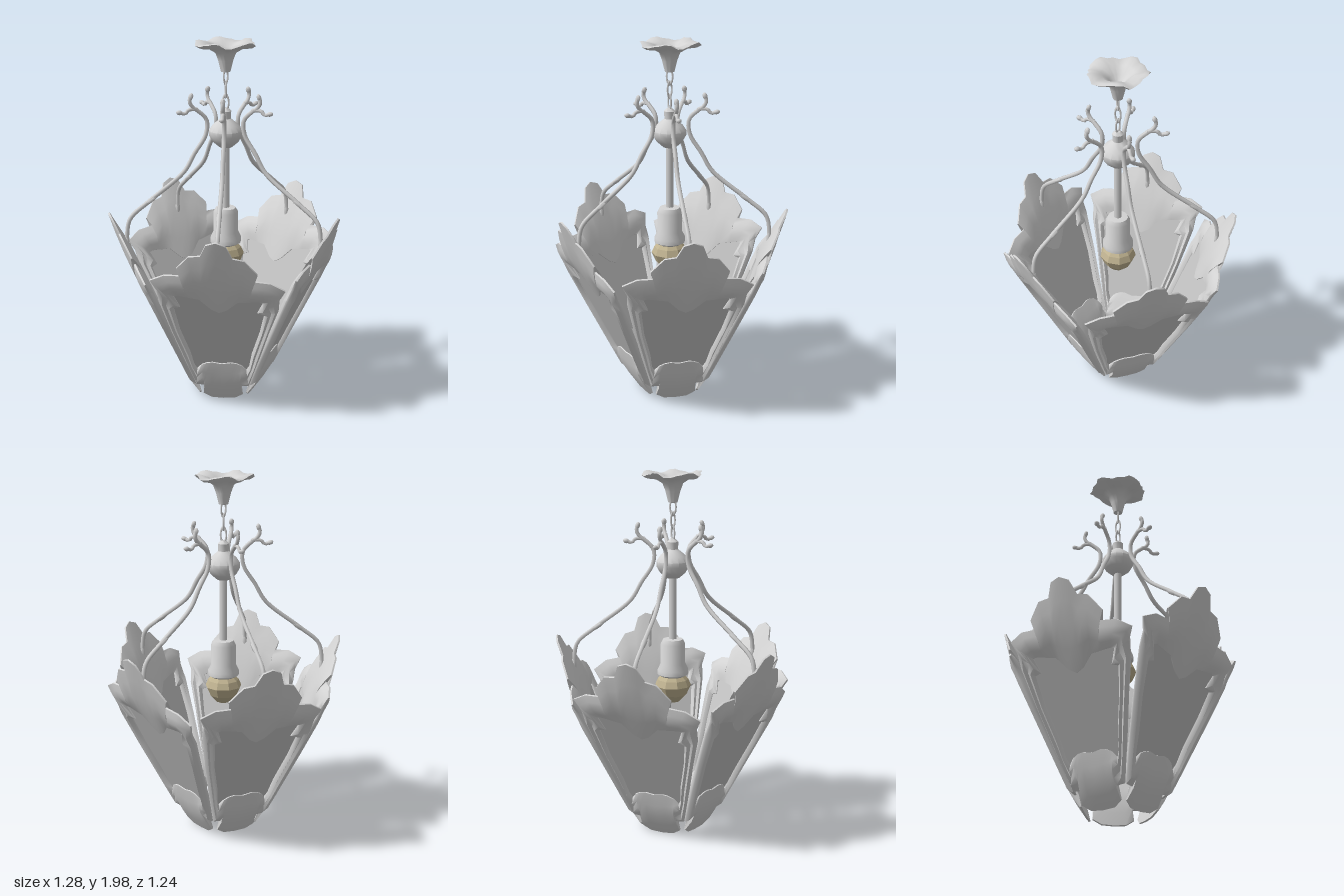
import * as THREE from 'three';
import { toCreasedNormals } from 'three/addons/utils/BufferGeometryUtils.js';

const metal = new THREE.MeshStandardMaterial({ color: 0xd4d4d4 });
metal.name = 'pale metal';
const pane = new THREE.MeshStandardMaterial({ color: 0xc4c4c4, side: THREE.DoubleSide });
pane.name = 'grey glass';
const bulbGlass = new THREE.MeshStandardMaterial({ color: 0xbfb290 });
bulbGlass.name = 'warm bulb';

const V = (x, y, z = 0) => new THREE.Vector3(x, y, z);

function add(parent, name, geometry, material) {
  const mesh = new THREE.Mesh(geometry, material);
  mesh.name = name;
  parent.add(mesh);
  return mesh;
}

function lathe(points, segments, crease = 0.7) {
  const geo = new THREE.LatheGeometry(points.map(([r, y]) => new THREE.Vector2(r, y)), segments);
  return toCreasedNormals(geo, crease);
}

function tube(points, radius, steps = 24, sides = 6) {
  return new THREE.TubeGeometry(new THREE.CatmullRomCurve3(points), steps, radius, sides);
}

// Half of the frame, top to bottom: outer s, outer y, inner s, inner y
const HALF = [
  [0, 1.1, 0, 0.65], [0.05, 1.08, 0.04, 0.67], [0.08, 1.01, 0.08, 0.71], [0.14, 1.0, 0.1, 0.73],
  [0.205, 0.92, 0.14, 0.735], [0.175, 0.875, 0.17, 0.74], [0.27, 0.87, 0.21, 0.745], [0.345, 0.83, 0.23, 0.74],
  [0.315, 0.77, 0.2, 0.67], [0.31, 0.7, 0.235, 0.66], [0.26, 0.52, 0.21, 0.52], [0.21, 0.34, 0.165, 0.36],
  [0.18, 0.24, 0.15, 0.27], [0.145, 0.12, 0.135, 0.24], [0.1, 0.115, 0.11, 0.27], [0.11, 0.05, 0.08, 0.285],
  [0.065, 0.02, 0.05, 0.29], [0, 0.015, 0, 0.28],
];
const isRail = (i) => i >= 8 && i <= 13;

// Point on the sloping panel: s across, y up, n outward from the plane
function onPanel(s, y, n) {
  const yy = y > 0.6 ? y - 0.07 * s : y;
  return [0.15 + 0.445 * yy + 0.914 * n, yy - 0.407 * n, -s];
}

// Full clockwise loop made by mirroring the half
function frameLoop() {
  const right = HALF.map((p, i) => ({ p, i }));
  const left = right.slice(1, -1).reverse().map(({ p, i }) => ({ p: [-p[0], p[1], -p[2], p[3]], i }));
  return right.concat(left);
}

// Puffed frame with leaf-shaped top and foot, and grooved side rails
function frameGeometry() {
  const loop = frameLoop();
  const leaf = [[0, 0.006], [0.25, 0.02], [0.5, 0.026], [0.75, 0.018], [1, 0.005]];
  const rail = [[0, 0.006], [0.25, 0.024], [0.5, 0.012], [0.75, 0.024], [1, 0.006]];
  const pos = [], idx = [], K = 10;
  for (const { p, i } of loop) {
    const front = isRail(i) ? rail : leaf;
    const ring = front.concat(front.slice().reverse().map(([t, n]) => [t, -n * 0.9]));
    for (const [t, n] of ring) {
      pos.push(...onPanel(p[2] + (p[0] - p[2]) * t, p[3] + (p[1] - p[3]) * t, n));
    }
  }
  const N = loop.length;
  for (let i = 0; i < N; i++) {
    for (let k = 0; k < K; k++) {
      const i2 = (i + 1) % N, k2 = (k + 1) % K;
      const a = i * K + k, b = i2 * K + k, c = i2 * K + k2, d = i * K + k2;
      idx.push(a, b, c, a, c, d);
    }
  }
  const geo = new THREE.BufferGeometry();
  geo.setAttribute('position', new THREE.Float32BufferAttribute(pos, 3));
  geo.setIndex(idx);
  return toCreasedNormals(geo, 0.9);
}

// Flat glass filling the frame opening
function glassGeometry() {
  const shape = new THREE.Shape(frameLoop().map(({ p }) => new THREE.Vector2(p[2], p[3])));
  const geo = new THREE.ShapeGeometry(shape);
  const pos = geo.attributes.position;
  for (let i = 0; i < pos.count; i++) pos.setXYZ(i, ...onPanel(pos.getX(i), pos.getY(i), 0));
  geo.computeVertexNormals();
  return geo;
}

// Curved arm with a forked leafy tip
function buildArm() {
  const arm = new THREE.Group();
  arm.name = 'arm';
  add(arm, 'armStem', tube([
    V(0.545, 0.88), V(0.545, 0.97), V(0.525, 1.06), V(0.42, 1.15), V(0.23, 1.3), V(0.17, 1.4),
    V(0.108, 1.5), V(0.105, 1.58), V(0.165, 1.64),
  ], 0.012, 40), metal);
  add(arm, 'upperProng', tube([V(0.14, 1.62), V(0.18, 1.65), V(0.195, 1.68), V(0.185, 1.715)], 0.011, 8), metal);
  add(arm, 'outerProng', tube([V(0.15, 1.635), V(0.2, 1.635), V(0.22, 1.615), V(0.255, 1.625)], 0.01, 8), metal);
  // small leaf buds at the tips and along the stem
  const buds = [[0.188, 1.705, 0.02, 0.3], [0.25, 1.622, 0.018, -1.3], [0.545, 0.93, 0.05, 0], [0.41, 1.155, 0.05, 0.95]];
  for (const [x, y, length, tilt] of buds) {
    const bud = add(arm, 'leafBud', new THREE.SphereGeometry(1, 6, 5), metal);
    bud.scale.set(0.013, length, 0.015);
    bud.position.set(x, y, 0);
    bud.rotation.z = tilt;
  }
  return arm;
}

// Flower-shaped ceiling cup with a ruffled five-lobed rim
function canopyGeometry() {
  const geo = new THREE.LatheGeometry([
    [0, 1.825], [0.025, 1.83], [0.04, 1.89], [0.055, 1.93], [0.09, 1.955], [0.135, 1.965],
    [0.155, 1.98], [0.135, 1.985], [0.085, 1.972], [0.045, 1.94], [0, 1.88],
  ].map(([r, y]) => new THREE.Vector2(r, y)), 30);
  const pos = geo.attributes.position;
  for (let i = 0; i < pos.count; i++) {
    const x = pos.getX(i), z = pos.getZ(i), r = Math.hypot(x, z), a = Math.atan2(z, x);
    const w = Math.max(0, (r - 0.05) / 0.1);
    const k = 1 + w * (0.05 * Math.cos(5 * a) + 0.03 * Math.cos(15 * a + 1));
    const lift = w * (0.011 * Math.sin(5 * a) + 0.004 * Math.sin(10 * a));
    pos.setXYZ(i, x * k, Math.min(2, pos.getY(i) + lift), z * k);
  }
  return toCreasedNormals(geo, 0.9);
}

export function createModel() {
  const model = new THREE.Group();
  model.name = 'pendantLantern';

  // Five leaning panels, each with its arm
  const frame = frameGeometry(), glass = glassGeometry();
  for (let i = 0; i < 5; i++) {
    const side = new THREE.Group();
    side.name = 'lanternSide';
    side.rotation.y = THREE.MathUtils.degToRad(2 + 72 * i);
    add(side, 'panelFrame', frame, metal);
    add(side, 'glassPane', glass, pane);
    side.add(buildArm());
    model.add(side);
  }

  // Ceiling cup and chain
  add(model, 'canopy', canopyGeometry(), metal);
  for (const [y, turn] of [[1.805, 0], [1.735, 0.9], [1.665, 2.2]]) {
    const link = add(model, 'chainLink', new THREE.TorusGeometry(0.016, 0.005, 5, 12), metal);
    link.scale.y = 2.4;
    link.position.y = y;
    link.rotation.y = turn;
  }

  // Hub ball with collar, rod, socket and bulb
  add(model, 'hub', lathe([
    [0, 1.42], [0.035, 1.425], [0.07, 1.455], [0.09, 1.49], [0.09, 1.515], [0.07, 1.545], [0.04, 1.57],
    [0.028, 1.58], [0.03, 1.62], [0.015, 1.635], [0, 1.635],
  ], 14), metal);
  add(model, 'rod', new THREE.CylinderGeometry(0.021, 0.021, 0.37, 10), metal).position.y = 1.245;
  add(model, 'socket', lathe([
    [0, 0.875], [0.06, 0.875], [0.085, 0.89], [0.085, 0.915], [0.068, 0.95], [0.068, 1.06], [0.055, 1.085], [0, 1.09],
  ], 14), metal);
  add(model, 'bulb', lathe([
    [0, 0.725], [0.04, 0.735], [0.078, 0.775], [0.1, 0.825], [0.085, 0.86], [0.055, 0.89], [0, 0.895],
  ], 9, 0.3), bulbGlass);

  return model;
}
